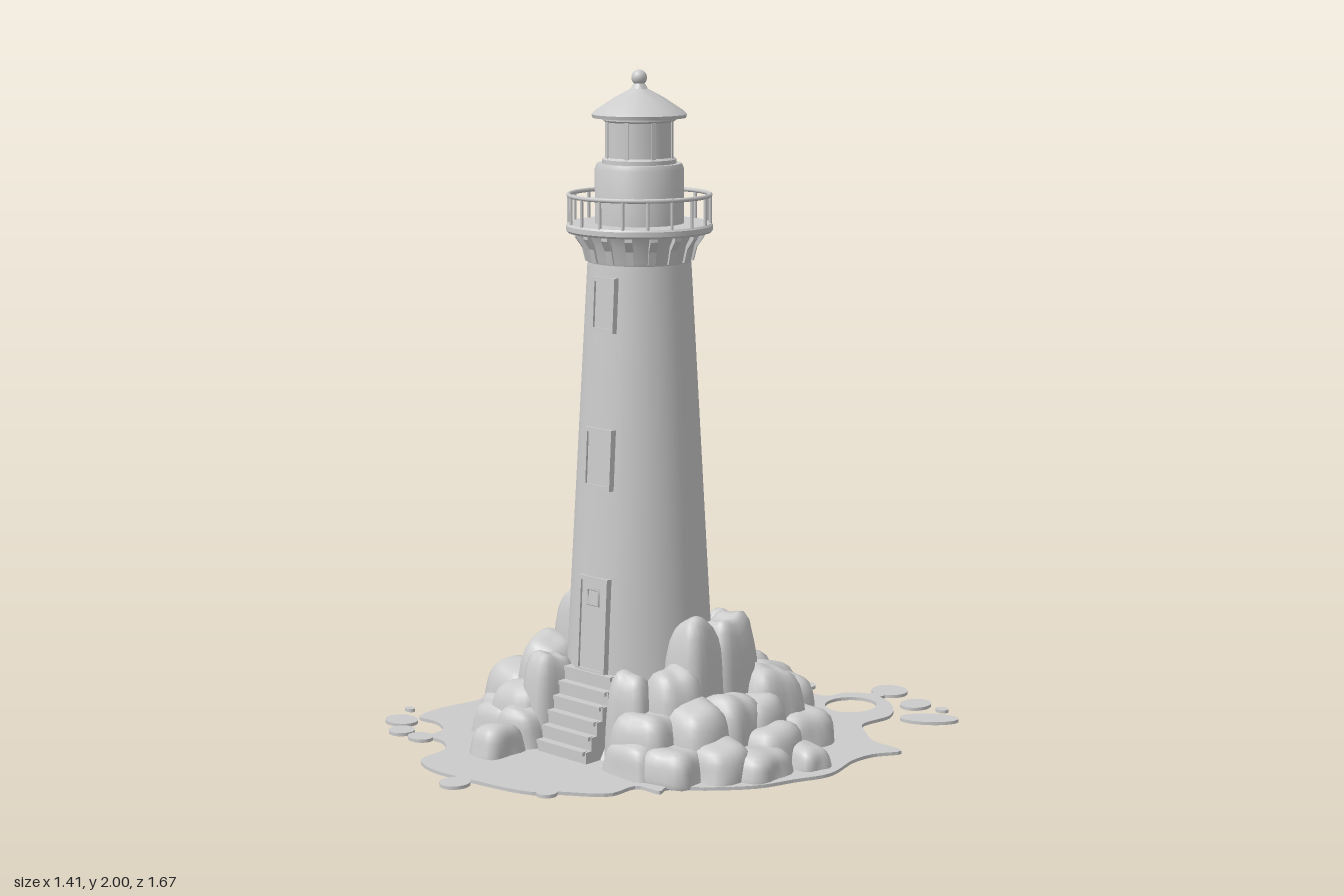
import * as THREE from 'three';
import { mergeVertices, toCreasedNormals } from 'three/addons/utils/BufferGeometryUtils.js';

const CZ = 0.08; // tower axis in z
const mat = new THREE.MeshStandardMaterial({ color: 0xcccccc, side: THREE.DoubleSide });
const v2 = ([x, y]) => new THREE.Vector2(x, y);

function add(parent, name, geo, x = 0, y = 0, z = 0) {
  const m = new THREE.Mesh(geo, mat);
  m.name = name;
  m.position.set(x, y, z);
  parent.add(m);
  return m;
}
function group(parent, name, x = 0, y = 0, z = 0) {
  const g = new THREE.Group();
  g.name = name;
  g.position.set(x, y, z);
  parent.add(g);
  return g;
}
const lathe = (pts) => toCreasedNormals(new THREE.LatheGeometry(pts.map(v2), 56), 0.5);
const wallRadius = (y) => 0.213 - (y - 0.35) * 0.055;

// Blocky rounded boulder: a sphere pushed toward a box, with a seeded wobble
function rockGeometry(hx, hz, top, seed) {
  let geo = new THREE.SphereGeometry(1, 24, 18);
  geo.deleteAttribute('uv');
  geo.deleteAttribute('normal');
  geo = mergeVertices(geo, 1e-4);
  const p = geo.attributes.position, v = new THREE.Vector3(), n = 4;
  for (let i = 0; i < p.count; i++) {
    v.fromBufferAttribute(p, i);
    const k = (Math.abs(v.x) ** n + Math.abs(v.y) ** n + Math.abs(v.z) ** n) ** (-1 / n);
    const w = 1 + 0.05 * Math.sin(3 * v.x + seed * 1.7) + 0.05 * Math.sin(4 * v.z + 2 * v.y + seed * 2.9);
    v.multiplyScalar(k * w);
    const spread = 1.08 - 0.13 * v.y;
    p.setXYZ(i, v.x * hx * spread, Math.max(0, top * (0.3 + 0.7 * v.y)), v.z * hz * spread);
  }
  geo.computeVertexNormals();
  return geo;
}

// Framed opening set into the sloping wall; side = 1 front, -1 back
function framed(parent, name, y0, y1, w, side) {
  const yc = (y0 + y1) / 2, h = y1 - y0, b = 0.013;
  const pivot = group(parent, name, 0, 0, CZ);
  if (side < 0) pivot.rotation.y = Math.PI;
  const g = group(pivot, name + 'Assembly', 0.008 * side, yc, wallRadius(yc));
  g.rotation.x = -0.055;
  const rect = (T, a, c) => new T([[-a, -c], [a, -c], [a, c], [-a, c]].map(v2));
  const s = rect(THREE.Shape, w / 2, h / 2);
  s.holes.push(rect(THREE.Path, w / 2 - b, h / 2 - b));
  add(g, name + 'Frame', new THREE.ExtrudeGeometry(s, { depth: 0.032, bevelEnabled: false }), 0, 0, -0.024);
  add(g, name + 'Panel', new THREE.BoxGeometry(w - b, h - b, 0.02), 0, 0, -0.009);
  return g;
}

function buildTower(root) {
  const tower = group(root, 'tower', 0.005);
  const part = (name, pts) => add(tower, name, lathe(pts), 0, 0, CZ);
  part('shaft', [[0.23, 0], [0.213, 0.35], [0.153, 1.43], [0.15, 1.46]]);
  part('flare', [[0.15, 1.44], [0.156, 1.455], [0.166, 1.5], [0.186, 1.535]]);
  part('galleryDeck', [[0.11, 1.53], [0.21, 1.53], [0.215, 1.536], [0.215, 1.55], [0.21, 1.556], [0.11, 1.556]]);
  part('watchRoom', [[0.13, 1.55], [0.13, 1.715], [0.124, 1.73], [0, 1.73]]);
  part('lanternRoom', [[0.108, 1.73], [0.108, 1.742], [0.1, 1.748], [0.1, 1.85], [0.106, 1.855], [0.106, 1.87]]);
  part('roof', [[0, 1.862], [0.136, 1.862], [0.139, 1.872], [0.126, 1.884], [0.075, 1.918], [0.025, 1.945], [0.016, 1.96], [0, 1.965]]);
  add(tower, 'roofBall', new THREE.SphereGeometry(0.023, 20, 14), 0, 1.977, CZ);

  // Repeats around the axis: brackets, railing posts, lantern mullions
  const ring = (name, count, geo, r, y) => {
    const g = group(tower, name + 's', 0, 0, CZ);
    for (let i = 0; i < count; i++) {
      const a = ((i + 0.5) / count) * Math.PI * 2;
      add(g, name, geo, Math.sin(a) * r, y, Math.cos(a) * r).rotation.y = a;
    }
  };
  const wedge = new THREE.Shape([[0, 0], [0.01, 0], [0.02, 0.04], [0.041, 0.07], [0.041, 0.085], [0, 0.085]].map(v2));
  const bracket = new THREE.ExtrudeGeometry(wedge, { depth: 0.022, bevelEnabled: false });
  bracket.translate(0, 0, -0.011).rotateY(-Math.PI / 2);
  ring('bracket', 16, bracket, 0.15, 1.448);
  ring('railPost', 18, new THREE.CylinderGeometry(0.005, 0.005, 0.09, 8), 0.207, 1.598);
  ring('mullion', 8, new THREE.BoxGeometry(0.012, 0.11, 0.008), 0.099, 1.8);
  add(tower, 'topRail', new THREE.TorusGeometry(0.207, 0.0065, 8, 64).rotateX(Math.PI / 2), 0, 1.638, CZ);

  // Openings
  for (const side of [1, -1]) {
    framed(tower, 'upperWindow', 1.25, 1.41, 0.092, side);
    framed(tower, 'middleWindow', 0.79, 0.97, 0.11, side);
  }
  const door = framed(tower, 'door', 0.24, 0.53, 0.118, 1);
  const pane = new THREE.TorusGeometry(0.032, 0.006, 4, 4).rotateZ(Math.PI / 4);
  add(door, 'doorWindow', pane, 0, 0.085, 0.002);
}

function buildStairs(root) {
  const stairs = group(root, 'stairs');
  for (let i = 0; i < 6; i++) {
    const top = 0.245 - i * 0.04, front = 0.305 + i * 0.023;
    add(stairs, 'step', new THREE.BoxGeometry(0.2, top, front - 0.2), 0.01, top / 2, (front + 0.2) / 2);
    add(stairs, 'tread', new THREE.BoxGeometry(0.19, 0.012, 0.018), 0.01, top - 0.004, front);
  }
}

function buildRocks(root) {
  const rocks = group(root, 'rocks');
  // Each entry: x, z, half width, half depth, top height
  const inner = [
    [-0.13, -0.16, 0.085, 0.065, 0.34], [0.02, -0.19, 0.07, 0.07, 0.28], [0.15, -0.15, 0.08, 0.07, 0.35],
    [0.26, -0.01, 0.07, 0.085, 0.41], [0.26, 0.12, 0.07, 0.08, 0.4], [0.27, 0.22, 0.08, 0.075, 0.28],
    [0.18, 0.29, 0.06, 0.065, 0.27], [-0.22, 0.0, 0.07, 0.085, 0.36], [-0.22, 0.11, 0.065, 0.065, 0.4],
    [-0.25, 0.2, 0.085, 0.09, 0.28], [-0.145, 0.31, 0.055, 0.07, 0.28], [0.22, -0.1, 0.065, 0.06, 0.33],
  ];
  const middle = [
    [-0.35, -0.07, 0.09, 0.085, 0.2], [-0.37, 0.21, 0.09, 0.09, 0.18], [-0.37, 0.07, 0.09, 0.085, 0.19],
    [-0.29, -0.24, 0.1, 0.1, 0.15], [-0.24, -0.15, 0.08, 0.08, 0.24], [-0.13, -0.29, 0.1, 0.09, 0.18],
    [0.05, -0.31, 0.09, 0.09, 0.19], [0.19, -0.27, 0.09, 0.09, 0.19], [0.3, -0.24, 0.085, 0.085, 0.17],
    [0.34, -0.12, 0.08, 0.09, 0.24], [0.39, 0.0, 0.08, 0.08, 0.18], [0.38, 0.1, 0.085, 0.08, 0.2],
    [0.36, 0.22, 0.09, 0.09, 0.2], [0.26, 0.32, 0.09, 0.08, 0.18], [-0.24, 0.33, 0.09, 0.08, 0.17],
  ];
  const outer = [
    [-0.52, -0.08, 0.075, 0.075, 0.085], [-0.4, -0.15, 0.075, 0.08, 0.12], [-0.4, 0.24, 0.06, 0.08, 0.1],
    [-0.17, 0.51, 0.055, 0.065, 0.09], [-0.18, 0.4, 0.07, 0.05, 0.12], [0.57, -0.02, 0.065, 0.05, 0.07],
    [0.47, 0.03, 0.08, 0.085, 0.12], [0.52, 0.14, 0.08, 0.08, 0.08], [0.46, 0.23, 0.08, 0.08, 0.11],
    [0.38, 0.34, 0.075, 0.07, 0.1], [0.26, 0.39, 0.08, 0.045, 0.1], [0.05, -0.39, 0.08, 0.06, 0.1],
    [-0.18, -0.36, 0.1, 0.06, 0.09], [0.41, -0.18, 0.08, 0.08, 0.11], [-0.3, 0.36, 0.085, 0.06, 0.1],
  ];
  [...inner, ...middle, ...outer].forEach(([x, z, hx, hz, top], i) => {
    add(rocks, 'rock', rockGeometry(hx, hz, top, i), x, 0.002, z).rotation.y = 0.22 * Math.sin(i * 2.3);
  });
  // Mound filling the gaps between the boulders
  const mound = lathe([[0.47, 0], [0.42, 0.07], [0.34, 0.13], [0.26, 0.22], [0.2, 0.28]]);
  mound.scale(1, 1, 0.84);
  add(rocks, 'mound', mound, 0.02, 0, -0.02);
}

function buildWater(root) {
  const water = group(root, 'water');
  const slab = (name, shape) => add(water, name,
    new THREE.ExtrudeGeometry(shape, { depth: 0.01, bevelEnabled: false, curveSegments: 20 }).rotateX(-Math.PI / 2));
  // Outline in x, z
  const outline = [
    [0.09, -0.58], [0.18, -0.6], [0.2, -0.67], [0.27, -0.71], [0.38, -0.67], [0.455, -0.57], [0.45, -0.44],
    [0.51, -0.38], [0.58, -0.33], [0.7, -0.31], [0.66, -0.23], [0.65, -0.15], [0.68, 0], [0.64, 0.11],
    [0.6, 0.22], [0.51, 0.33], [0.42, 0.41], [0.43, 0.45], [0.35, 0.46], [0.34, 0.56], [0.22, 0.65],
    [0.17, 0.7], [-0.02, 0.74], [-0.2, 0.75], [-0.28, 0.71], [-0.3, 0.6], [-0.36, 0.55], [-0.43, 0.54],
    [-0.45, 0.47], [-0.52, 0.43], [-0.6, 0.43], [-0.62, 0.33], [-0.6, 0.17], [-0.67, 0.04], [-0.6, -0.04],
    [-0.57, -0.14], [-0.46, -0.16], [-0.42, -0.29], [-0.33, -0.35], [-0.22, -0.42], [-0.06, -0.4], [0.06, -0.46],
  ];
  const curve = new THREE.CatmullRomCurve3(outline.map(([x, z]) => new THREE.Vector3(x, -z, 0)), true);
  const shape = new THREE.Shape(curve.getPoints(200).slice(0, -1).map((p) => new THREE.Vector2(p.x, p.y)));
  shape.holes.push(new THREE.Path().absellipse(0.295, 0.575, 0.078, 0.085, 0, Math.PI * 2));
  slab('pool', shape);
  // Droplets: x, z, radius x, radius z, turn
  const drops = [
    [0.045, -0.65, 0.036, 0.034, 0], [0.285, -0.785, 0.058, 0.056, 0], [0.285, -0.72, 0.025, 0.03, 0],
    [0.435, -0.725, 0.045, 0.053, 0], [0.53, -0.735, 0.021, 0.018, 0], [0.56, -0.63, 0.09, 0.045, 0.65],
    [-0.69, 0.388, 0.018, 0.013, 0], [-0.62, 0.485, 0.055, 0.046, 0], [-0.54, 0.555, 0.04, 0.04, 0],
    [-0.45, 0.56, 0.042, 0.036, 0], [-0.055, 0.785, 0.043, 0.046, 0], [0.2, 0.67, 0.03, 0.03, 0],
  ];
  for (const [x, z, rx, rz, turn] of drops) {
    slab('droplet', new THREE.Shape().absellipse(x, -z, rx, rz, 0, Math.PI * 2, false, turn));
  }
}

export function createModel() {
  const root = new THREE.Group();
  root.name = 'lighthouse';
  buildTower(root);
  buildStairs(root);
  buildRocks(root);
  buildWater(root);
  return root;
}
